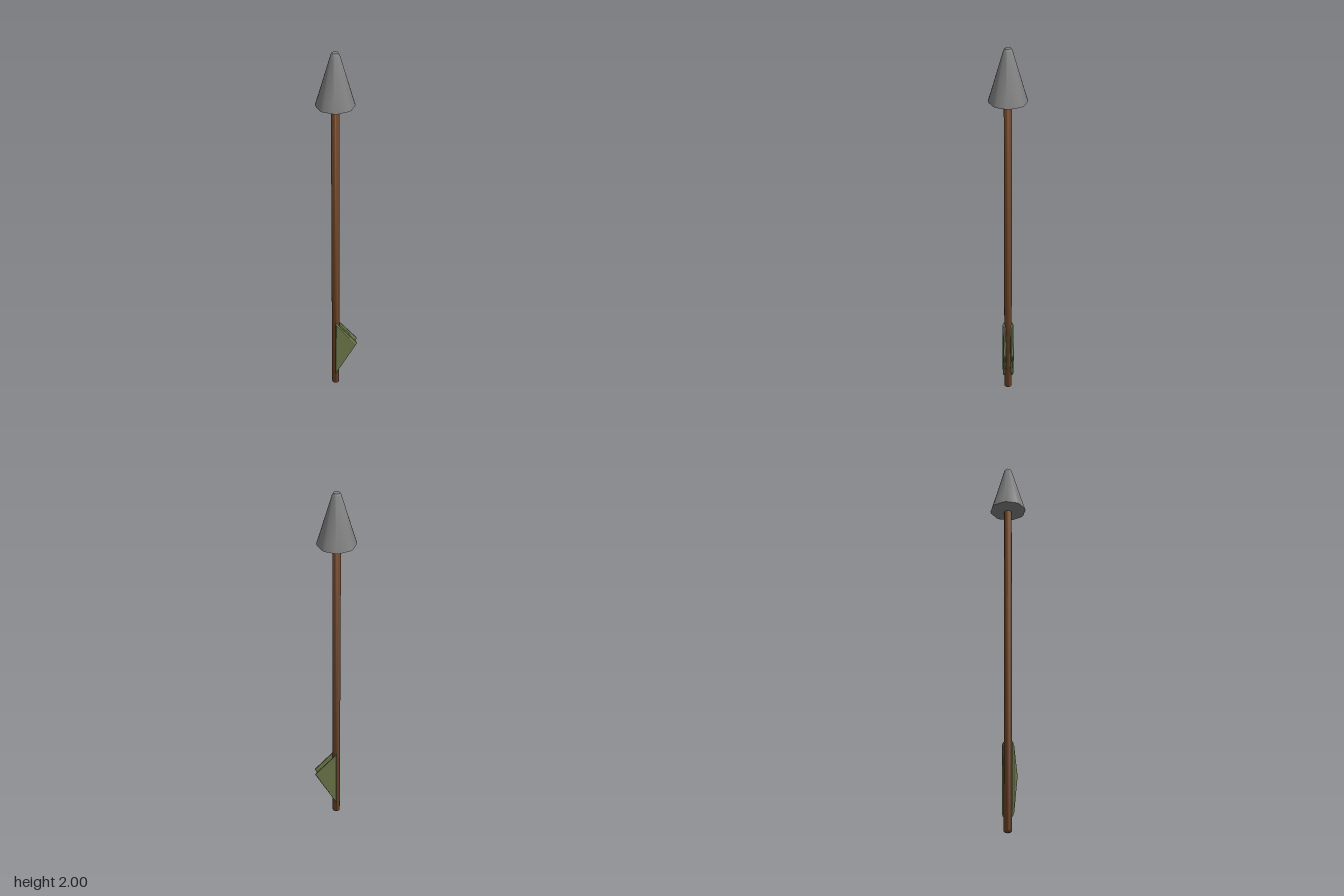
import * as THREE from 'three';
import { toCreasedNormals } from 'three/addons/utils/BufferGeometryUtils.js';

const AXIS_X = -0.012;

// Eight-sided turned solid whose corners are each cut by a narrow facet.
function octagonSolid(profile, cut) {
  const points = profile.map(([r, y]) => new THREE.Vector2(r, y));
  const geometry = new THREE.LatheGeometry(points, 16);
  const pos = geometry.attributes.position;
  for (let i = 0; i < pos.count; i++) {
    const r = Math.hypot(pos.getX(i), pos.getZ(i));
    const column = Math.floor(i / points.length);
    const angle = Math.floor(column / 2) * Math.PI / 4 + (column % 2 ? cut : -cut);
    pos.setX(i, r * Math.sin(angle));
    pos.setZ(i, r * Math.cos(angle));
  }
  return toCreasedNormals(geometry, 0.85);
}

function addPart(group, name, geometry, color) {
  const mesh = new THREE.Mesh(geometry, new THREE.MeshStandardMaterial({ color }));
  mesh.name = name;
  group.add(mesh);
  return mesh;
}

export function createModel() {
  const group = new THREE.Group();
  group.name = 'arrow';

  // Shaft with bevelled ends
  const shaft = octagonSolid(
    [[0, 0], [0.013, 0], [0.02, 0.007], [0.02, 1.73], [0.013, 1.737], [0, 1.737]], 0.12);
  addPart(group, 'shaft', shaft, 0x6e4529).position.x = AXIS_X;

  // Tapered head with a flat base and small blunt tip
  const head = octagonSolid(
    [[0, 1.734], [0.084, 1.734], [0.094, 1.739], [0.082, 1.778], [0.021, 1.99], [0.015, 2], [0, 2]], 0.09);
  addPart(group, 'head', head, 0x808080).position.x = AXIS_X;

  // Pair of bevelled triangular fins on the left side
  const outline = new THREE.Shape([
    new THREE.Vector2(-0.013, 0.075),
    new THREE.Vector2(0.104, 0.3),
    new THREE.Vector2(-0.013, 0.442),
  ]);
  const fin = new THREE.ExtrudeGeometry(outline, {
    depth: 0.006, bevelEnabled: true, bevelSegments: 1,
    bevelThickness: 0.006, bevelSize: 0.009, bevelOffset: -0.009,
  });
  fin.translate(0, 0, -0.003);
  for (const [name, z] of [['frontFin', 0.02], ['backFin', -0.02]]) {
    addPart(group, name, fin, 0x6b7549).position.z = z;
  }

  return group;
}
